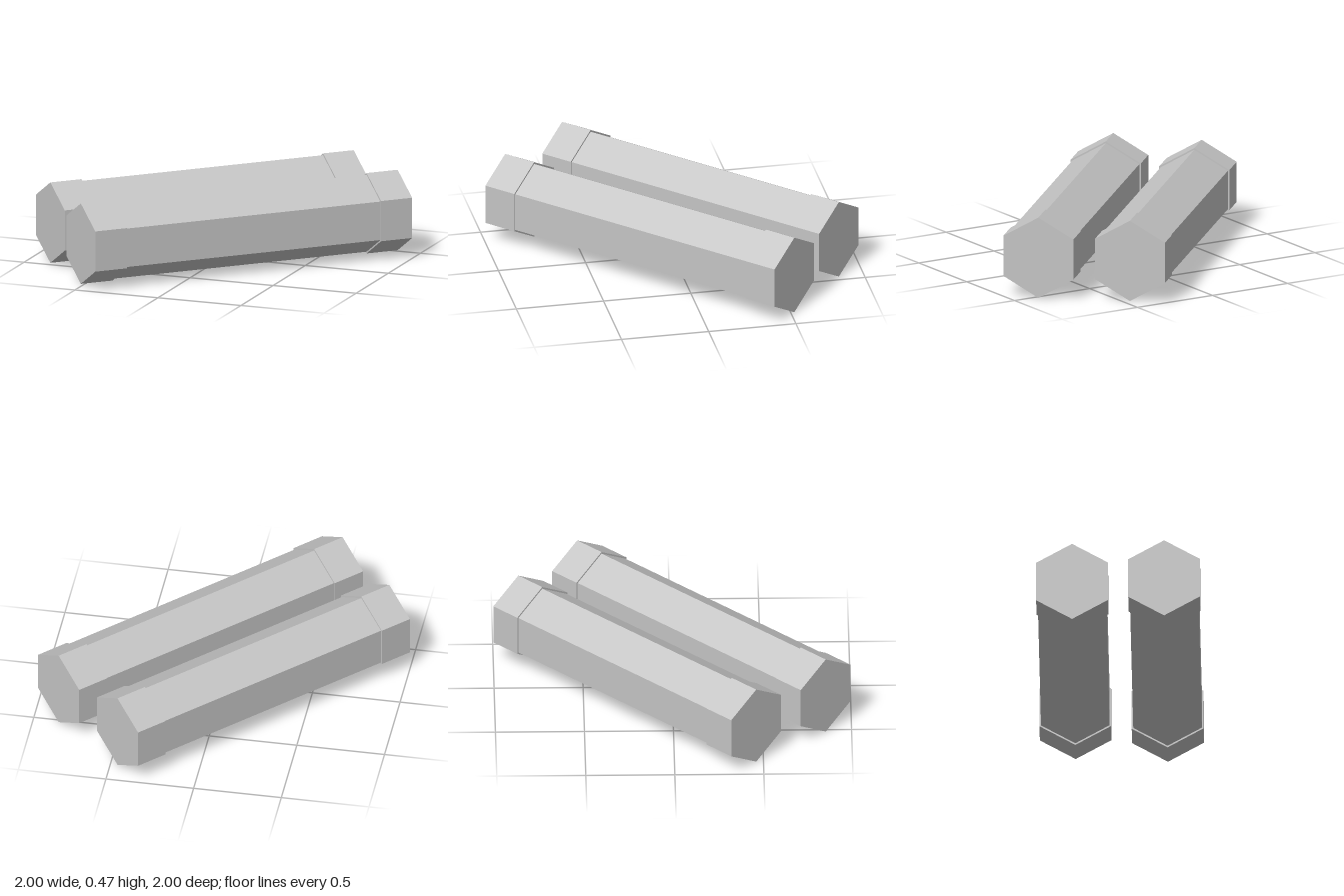
import * as THREE from 'three';

const CAP_RADIUS = 0.2327;
const BODY_RADIUS = 0.2225;

const grey = new THREE.MeshStandardMaterial({ color: 0xc4c4c4, flatShading: true });
grey.name = 'grey';

// Hexagonal prism lying along z with a ridge on top, from "start" to "end" towards -z
function hexPrism(name, radius, start, end) {
  const geometry = new THREE.CylinderGeometry(radius, radius, end - start, 6);
  geometry.rotateX(-Math.PI / 2);
  geometry.translate(0, 0, -(start + end) / 2);
  const mesh = new THREE.Mesh(geometry, grey);
  mesh.name = name;
  return mesh;
}

// One bar: a slim body with a wider collar at each end
function bar(name, x, z, length, nearCap, farCap) {
  const group = new THREE.Group();
  group.name = name;
  const half = length / 2;
  group.add(
    hexPrism('body', BODY_RADIUS, -half + nearCap - 0.01, half - farCap + 0.01),
    hexPrism('nearCap', CAP_RADIUS, -half, -half + nearCap),
    hexPrism('farCap', CAP_RADIUS, half - farCap, half)
  );
  group.position.set(x, CAP_RADIUS, z);
  group.rotation.y = -Math.PI / 4;
  return group;
}

export function createModel() {
  const model = new THREE.Group();
  model.name = 'hexagonalBars';
  model.add(
    bar('backBar', -0.199, -0.199, 1.862, 0.192, 0.188),
    bar('frontBar', 0.167, 0.167, 1.945, 0.195, 0.191)
  );
  return model;
}
